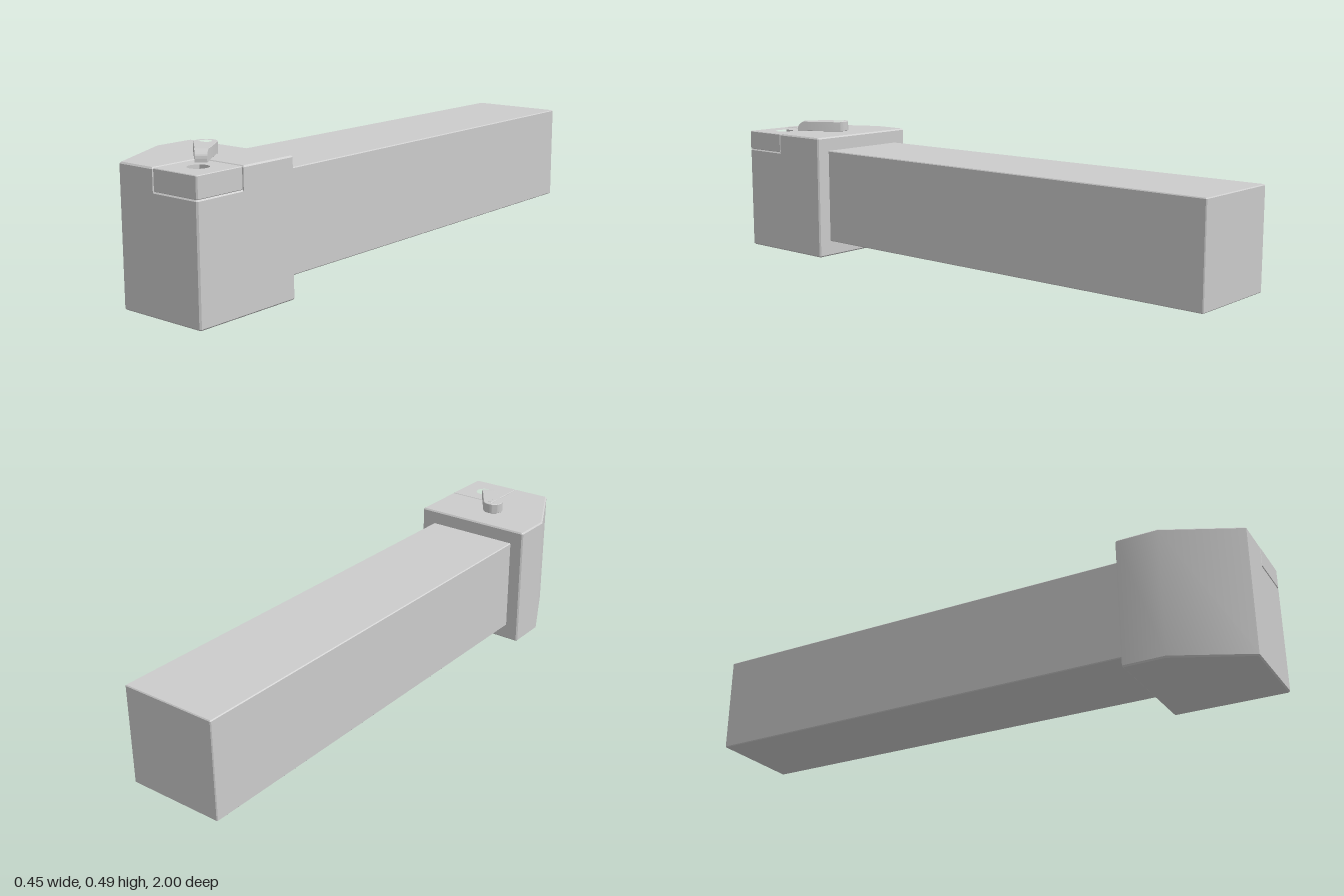
import * as THREE from 'three';
import { toCreasedNormals } from 'three/addons/utils/BufferGeometryUtils.js';

const material = new THREE.MeshStandardMaterial({ color: 0xcccccc });

function part(name, geometry) {
  const mesh = new THREE.Mesh(toCreasedNormals(geometry, 0.5), material);
  mesh.name = name;
  return mesh;
}

// Upright prism from a plan outline of [x, z] points, with softened top and bottom edges.
function prism(outline, y0, y1, bevel, hole) {
  const shape = new THREE.Shape(outline.map(([x, z]) => new THREE.Vector2(x, -z)));
  if (hole) {
    shape.holes.push(new THREE.Path().absarc(hole.x, -hole.z, hole.r, 0, Math.PI * 2, true));
  }
  const geometry = new THREE.ExtrudeGeometry(shape, {
    depth: y1 - y0 - 2 * bevel,
    bevelEnabled: true, bevelSize: bevel, bevelThickness: bevel,
    bevelOffset: -bevel, bevelSegments: 1, curveSegments: 32,
  });
  return geometry.rotateX(-Math.PI / 2).translate(0, y0 + bevel, 0);
}

// Rectangle with small cut corners
function rect(x0, x1, z0, z1, c) {
  return [
    [x0 + c, z0], [x1 - c, z0], [x1, z0 + c], [x1, z1 - c],
    [x1 - c, z1], [x0 + c, z1], [x0, z1 - c], [x0, z0 + c],
  ];
}

function createClamp() {
  const clamp = new THREE.Group();
  clamp.name = 'clamp';
  const height = 0.037, r = 0.037, joint = 0.122, end = 0.155;
  const halfWidth = (u) => r - (u / end) * 0.019;

  // Round eye running into a tapering arm
  const outline = [[joint, halfWidth(joint)]];
  for (let i = 0; i <= 28; i++) {
    const a = Math.PI * (0.46 + (1.08 * i) / 28);
    outline.push([r * Math.cos(a), r * Math.sin(a)]);
  }
  outline.push([joint, -halfWidth(joint)]);
  clamp.add(part('clampArm', prism(outline, 0, height, 0.0015, { x: 0, z: 0, r: 0.022 })));

  // Nose curving down to the insert
  const side = new THREE.Shape();
  side.moveTo(joint - 0.004, 0);
  side.lineTo(end, 0);
  side.lineTo(end, 0.01);
  side.absellipse(joint + 0.003, 0.01, end - joint - 0.003, height - 0.01, 0, Math.PI / 2, false);
  side.lineTo(joint - 0.004, height);
  const nose = new THREE.ExtrudeGeometry(side, { depth: 2, bevelEnabled: false, curveSegments: 12 });
  nose.translate(0, 0, -1);
  const p = nose.attributes.position;
  for (let i = 0; i < p.count; i++) p.setZ(i, p.getZ(i) * halfWidth(p.getX(i)));
  nose.computeVertexNormals();
  clamp.add(part('clampNose', nose));

  clamp.position.set(-0.008, 0.448, 0.745);
  clamp.rotation.y = -Math.atan2(0.75, 0.66);
  return clamp;
}

export function createModel() {
  const model = new THREE.Group();
  model.name = 'toolHolder';

  // Long square shank
  model.add(part('shank', prism(rect(-0.175, 0.17, -1, 0.62, 0.003), 0.056, 0.397, 0.003)));

  // Head with one slanted side and a corner cut away for the insert
  const c = 0.005;
  const head = [
    [-0.225 + c, 0.605], [0.222 - c, 0.605], [0.222, 0.605 + c], [0.222, 0.818],
    [0.041, 0.818], [0.041, 1], [-0.1, 1], [-0.225, 0.75], [-0.225, 0.605 + c],
  ];
  model.add(part('head', prism(head, 0, 0.448, 0.005)));

  // Ledge under the insert
  const seat = [[0.025, 0.8], [0.222, 0.8], [0.222, 1 - c], [0.222 - c, 1], [0.025, 1]];
  model.add(part('insertSeat', prism(seat, 0, 0.378, 0.005)));

  // Square cutting insert with a centre hole
  model.add(part('cuttingInsert',
    prism(rect(0.042, 0.222, 0.819, 1, 0.004), 0.378, 0.447, 0.002, { x: 0.129, z: 0.905, r: 0.035 })));

  model.add(createClamp());
  return model;
}
